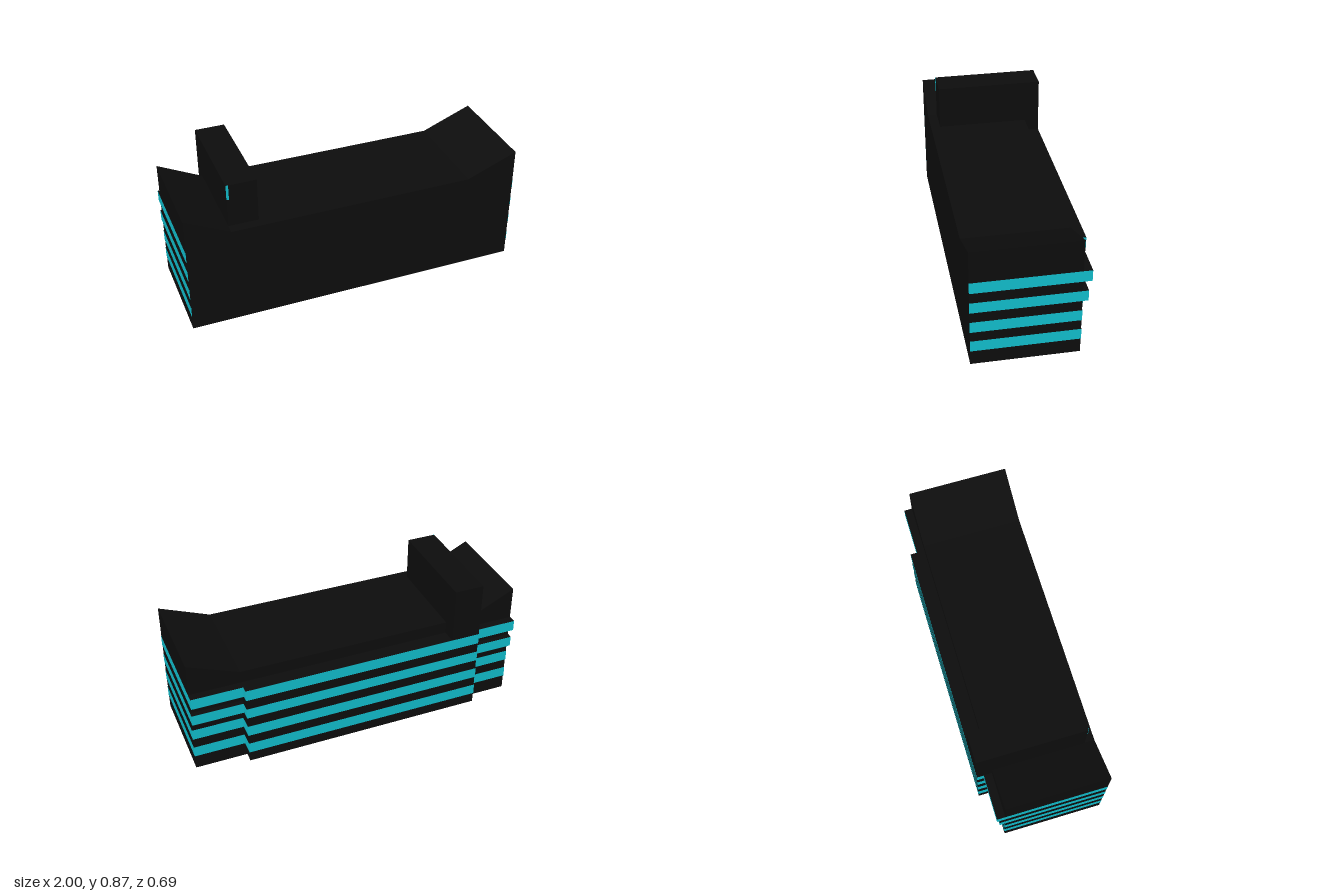
import * as THREE from 'three';

const FRONT = 0.345, WALL = -0.257, BACK = -0.345;
const X0 = -0.74, X1 = 0.70, T = 0.002;

export function createModel() {
  const group = new THREE.Group();
  const black = new THREE.MeshStandardMaterial({ color: 0x0d0d0d });
  black.name = 'black cladding';
  const cyan = new THREE.MeshStandardMaterial({ color: 0x11c0cf });
  cyan.name = 'cyan glazing';

  // box given by its limits on each axis
  const box = (name, x0, x1, y0, y1, z0, z1, material) => {
    const mesh = new THREE.Mesh(new THREE.BoxGeometry(x1 - x0, y1 - y0, z1 - z0), material);
    mesh.position.set((x0 + x1) / 2, (y0 + y1) / 2, (z0 + z1) / 2);
    mesh.name = name;
    group.add(mesh);
  };

  // main block with the roof rising towards both ends
  const outline = new THREE.Shape([
    [-1, 0], [1, 0], [1, 0.727], [X1, 0.607], [X0, 0.607], [-1, 0.735],
  ].map(([x, y]) => new THREE.Vector2(x, y)));
  const bodyGeometry = new THREE.ExtrudeGeometry(outline, { depth: FRONT - WALL, bevelEnabled: false });
  bodyGeometry.translate(0, 0, WALL);
  const body = new THREE.Mesh(bodyGeometry, black);
  body.name = 'mainBlock';
  group.add(body);

  // rear bay, raised slightly off the ground, and roof tower
  box('rearBay', X0, X1, 0.025, 0.535, BACK + T, WALL, black);
  box('roofTower', X0, -0.565, 0.535, 0.87, BACK, 0.288, black);
  box('towerWindow', X0, -0.726, 0.78, 0.87, 0.288, 0.288 + T, cyan);

  // window bands: glazed sides with black tops and undersides
  const band = [cyan, cyan, black, black, cyan, cyan];
  const floors = [
    { y0: 0.088, y1: 0.155, z: WALL - T },
    { y0: 0.214, y1: 0.281, z: WALL - T },
    { y0: 0.342, y1: 0.407, z: -0.289 },
    { y0: 0.468, y1: 0.535, z: -0.305 },
  ];
  for (const { y0, y1, z } of floors) {
    box('rearBayBand', X0 - T, X1 + T, y0, y1, BACK, WALL, band);
    box('endBandRight', -1, X0, y0, y1, z, WALL, band);
    box('endBandLeft', X1, 1, y0, y1, z, WALL, band);
    box('sideBandRight', -1 - T, -1, y0, y1, z, FRONT, band);
    box('sideBandLeft', 1, 1 + T, y0, y1, z, FRONT, band);
  }
  return group;
}
